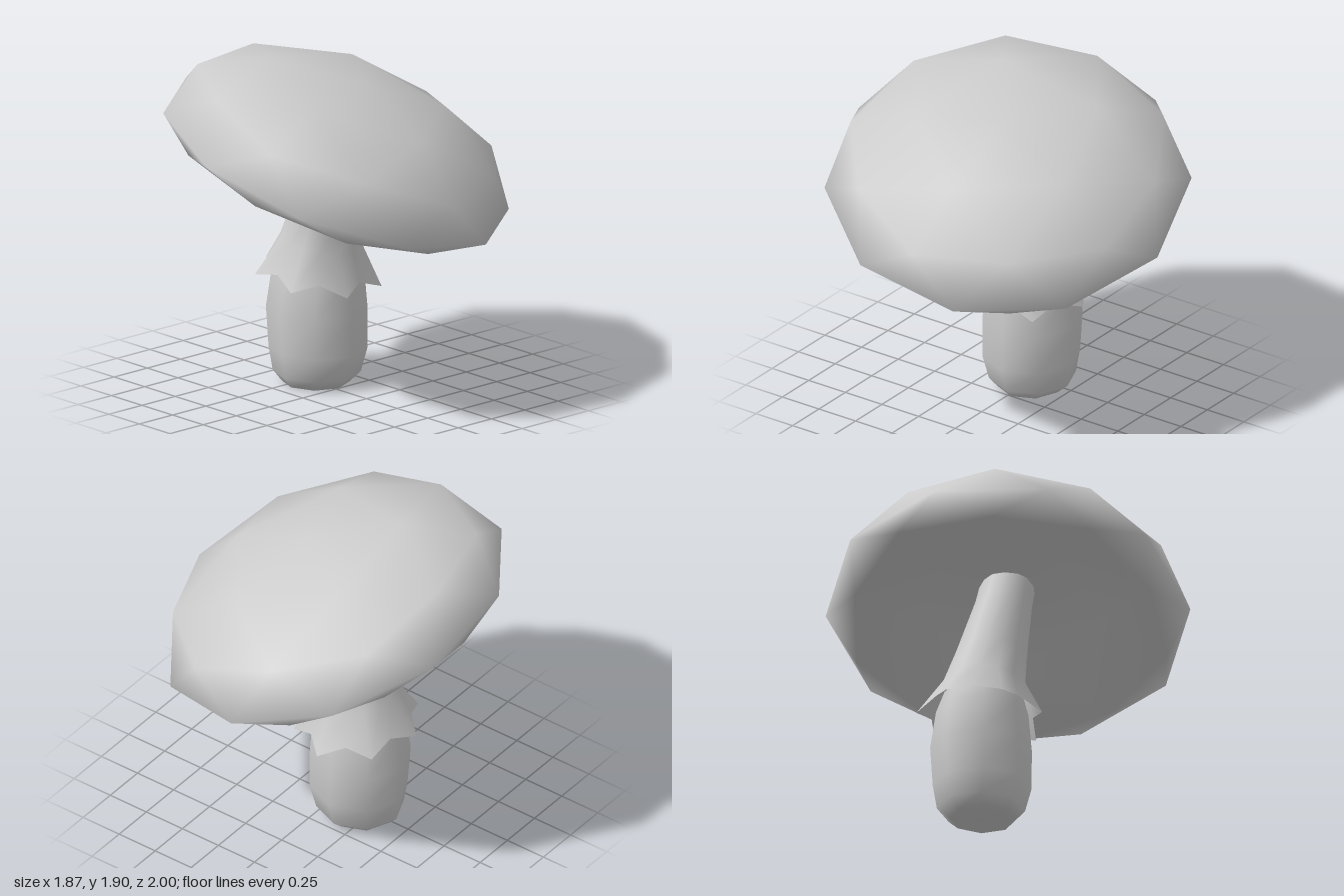
import * as THREE from 'three';
import { mergeVertices } from 'three/addons/utils/BufferGeometryUtils.js';

const material = new THREE.MeshStandardMaterial({ color: 0xcccccc, side: THREE.DoubleSide });

// Skin between rings listed bottom to top; point(ring, angle, index) gives each corner
function loft(rings, sides, point, closeBottom) {
  const pos = [], index = [];
  rings.forEach((ring) => {
    for (let i = 0; i < sides; i++) pos.push(...point(ring, (i / sides) * Math.PI * 2, i));
  });
  for (let j = 0; j < rings.length - 1; j++) {
    for (let i = 0; i < sides; i++) {
      const a = j * sides + i, b = j * sides + ((i + 1) % sides);
      index.push(a, a + sides, b, b, a + sides, b + sides);
    }
  }
  if (closeBottom) {
    const [x, y, z] = rings[0];
    const centre = pos.length / 3;
    pos.push(x, y, z);
    for (let i = 0; i < sides; i++) index.push(centre, i, (i + 1) % sides);
  }
  const g = new THREE.BufferGeometry();
  g.setAttribute('position', new THREE.Float32BufferAttribute(pos, 3));
  g.setIndex(index);
  g.computeVertexNormals();
  return g;
}

// Low-poly ball, domed above the rim and hollowed below it
function capGeometry() {
  const R = 1.017;
  let g = new THREE.IcosahedronGeometry(1, 1);
  g.deleteAttribute('normal');
  g.deleteAttribute('uv');
  g = mergeVertices(g, 1e-4);
  g.rotateZ(Math.atan2(2, 1 + Math.sqrt(5))); // one corner points straight up
  g.rotateY(Math.PI);
  const p = g.attributes.position;
  for (let i = 0; i < p.count; i++) {
    const y = p.getY(i);
    let h = y * 0.5;
    if (y < 0) h = y * 0.2;       // rolled rim
    if (y < -0.7) h = 0.1;        // hollow underside
    if (y < -0.95) h = 0.18;
    p.setXYZ(i, p.getX(i) * R, h, p.getZ(i) * R);
  }
  g.computeVertexNormals();
  return g;
}

export function createModel() {
  const group = new THREE.Group();
  const add = (name, geometry) => {
    const mesh = new THREE.Mesh(geometry, material);
    mesh.name = name;
    group.add(mesh);
    return mesh;
  };

  // Tilted cap
  const cap = add('cap', capGeometry());
  const axis = new THREE.Vector3(0.31, 1, -0.185).normalize();
  cap.quaternion.setFromUnitVectors(new THREE.Vector3(0, 1, 0), axis);
  cap.position.set(0, 1.32, 0);

  // Bulbous foot: [x, y, z, radius]
  const foot = [
    [-0.19, 0, -0.02, 0.19],
    [-0.19, 0.06, -0.03, 0.25],
    [-0.18, 0.2, -0.03, 0.28],
    [-0.19, 0.43, -0.03, 0.288],
    [-0.18, 0.65, -0.03, 0.262],
    [-0.17, 0.78, -0.03, 0.22],
  ];
  add('stemFoot', loft(foot, 8, ([x, y, z, r], a) =>
    [x + r * Math.cos(a), y, z + r * 0.96 * Math.sin(a)], true));

  // Leaning upper stem flaring into a skirt with seven points;
  // the last two numbers are the notch radius and the notch height
  const upper = [
    [-0.185, 0.612, -0.035, 0.36, 0.29, 0.658],
    [-0.16, 0.83, -0.03, 0.23, 0.225, 0.83],
    [-0.1, 1.04, -0.03, 0.197, 0.195, 1.04],
    [0, 1.38, -0.03, 0.158, 0.156, 1.38],
    [0.06, 1.6, -0.03, 0.15, 0.15, 1.6],
  ];
  const turn = THREE.MathUtils.degToRad(16);
  add('stemAndSkirt', loft(upper, 14, ([x, y, z, r, notchR, notchY], a, i) => {
    const radius = i % 2 ? notchR : r;
    const dx = radius * Math.cos(a + turn), dz = radius * Math.sin(a + turn);
    return [x + dx, (i % 2 ? notchY : y) - 0.12 * dx + 0.03 * dz, z + dz];
  }, false));

  return group;
}
